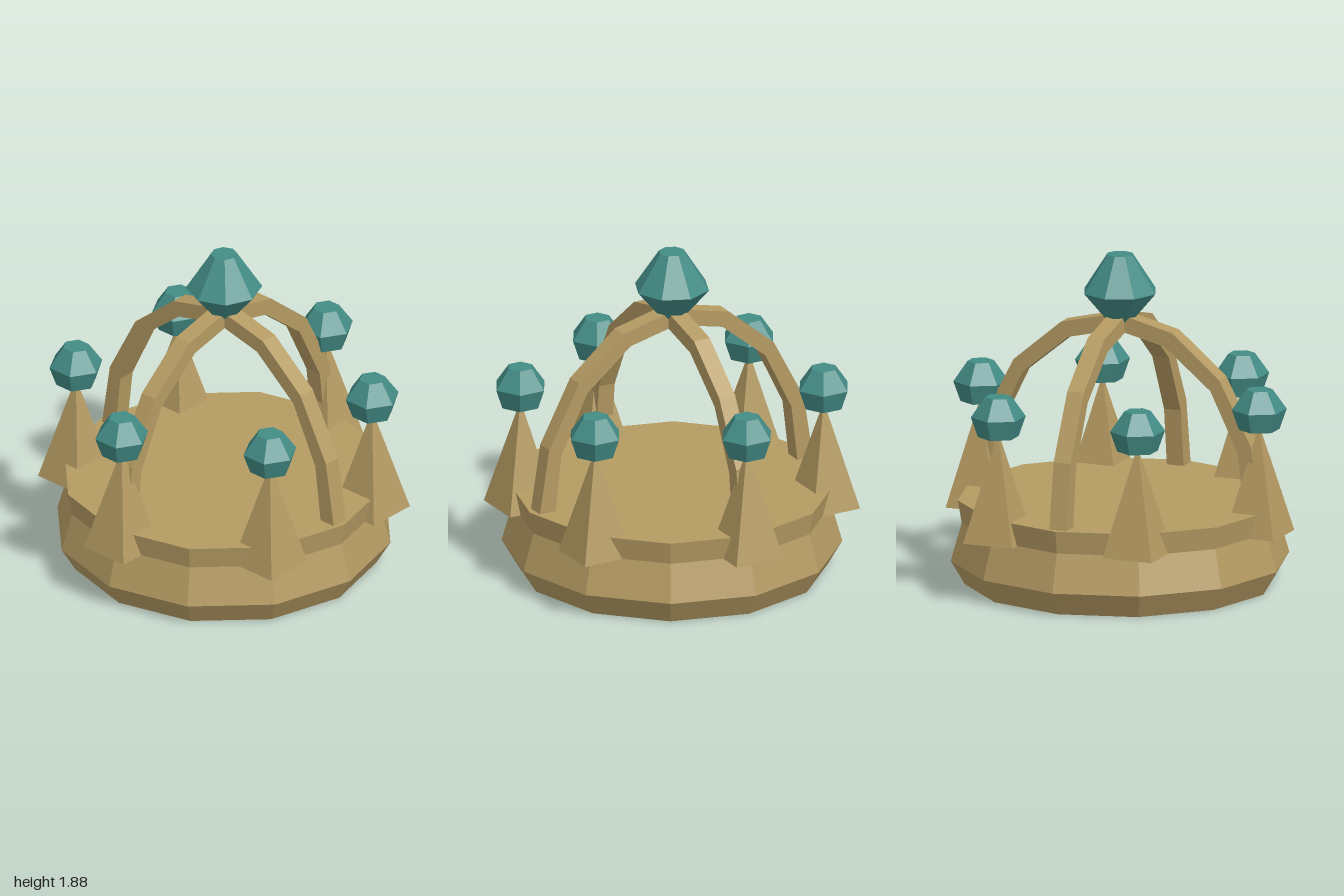
import * as THREE from 'three';

const gold = new THREE.MeshStandardMaterial({ color: 0xb59b63 });
gold.name = 'gold';
const teal = new THREE.MeshStandardMaterial({ color: 0x448c86 });
teal.name = 'teal';

// Faceted mesh: every face gets its own flat normal
function facet(name, geometry, material) {
  const g = geometry.index ? geometry.toNonIndexed() : geometry;
  g.computeVertexNormals();
  const mesh = new THREE.Mesh(g, material);
  mesh.name = name;
  return mesh;
}

// Closed turned solid from [radius, y] rings, listed bottom to top
function turned(rings, sides) {
  const pts = [[0, rings[0][1]], ...rings, [0, rings[rings.length - 1][1]]];
  return new THREE.LatheGeometry(pts.map(([r, y]) => new THREE.Vector2(r, y)), sides, Math.PI / 2);
}

// Bent bar: half outline mirrored in x, extruded across its width
function archGeometry(width) {
  const outer = [[0, 1.55], [0.34, 1.468], [0.627, 1.226], [0.82, 0.86], [0.883, 0.46]];
  const inner = [[0, 1.455], [0.296, 1.385], [0.573, 1.157], [0.74, 0.815], [0.782, 0.46]];
  const mirror = (pts) => pts.slice(1).reverse().map(([x, y]) => [-x, y]);
  const loop = [...mirror(outer), ...outer, ...inner.slice().reverse(), ...mirror(inner).reverse()];
  const shape = new THREE.Shape(loop.map(([x, y]) => new THREE.Vector2(x, y)));
  const g = new THREE.ExtrudeGeometry(shape, { depth: width, bevelEnabled: false });
  return g.translate(0, 0, -width / 2);
}

export function createModel() {
  const crown = new THREE.Group();
  crown.name = 'crown';

  // Twelve-sided band with a flared rim and flat top
  crown.add(facet('band', turned([[0.875, 0], [0.955, 0.137], [0.893, 0.355], [0.915, 0.485]], 12), gold));

  // Two crossing arches
  for (let i = 0; i < 2; i++) {
    const arch = facet('arch', archGeometry(0.102), gold);
    arch.rotation.y = i * Math.PI / 2;
    crown.add(arch);
  }

  // Large gem where the arches meet
  crown.add(facet('topGem', turned([[0.075, 1.503], [0.215, 1.668], [0.075, 1.882]], 8), teal));

  // Six square spikes, each tipped with a small gem
  for (let i = 0; i < 6; i++) {
    const a = Math.PI / 6 + i * Math.PI / 3;
    const point = new THREE.Group();
    point.name = 'point';
    point.position.set(0.85 * Math.cos(a), 0, 0.85 * Math.sin(a));

    const cone = new THREE.ConeGeometry(0.15 * Math.SQRT2, 0.625, 4);
    cone.rotateY(Math.PI / 4).translate(0, 0.353 + 0.3125, 0);
    point.add(facet('spike', cone, gold));
    point.add(facet('spikeGem', turned([[0.115, 0.953], [0.155, 1.068], [0.075, 1.183]], 6), teal));
    crown.add(point);
  }
  return crown;
}
